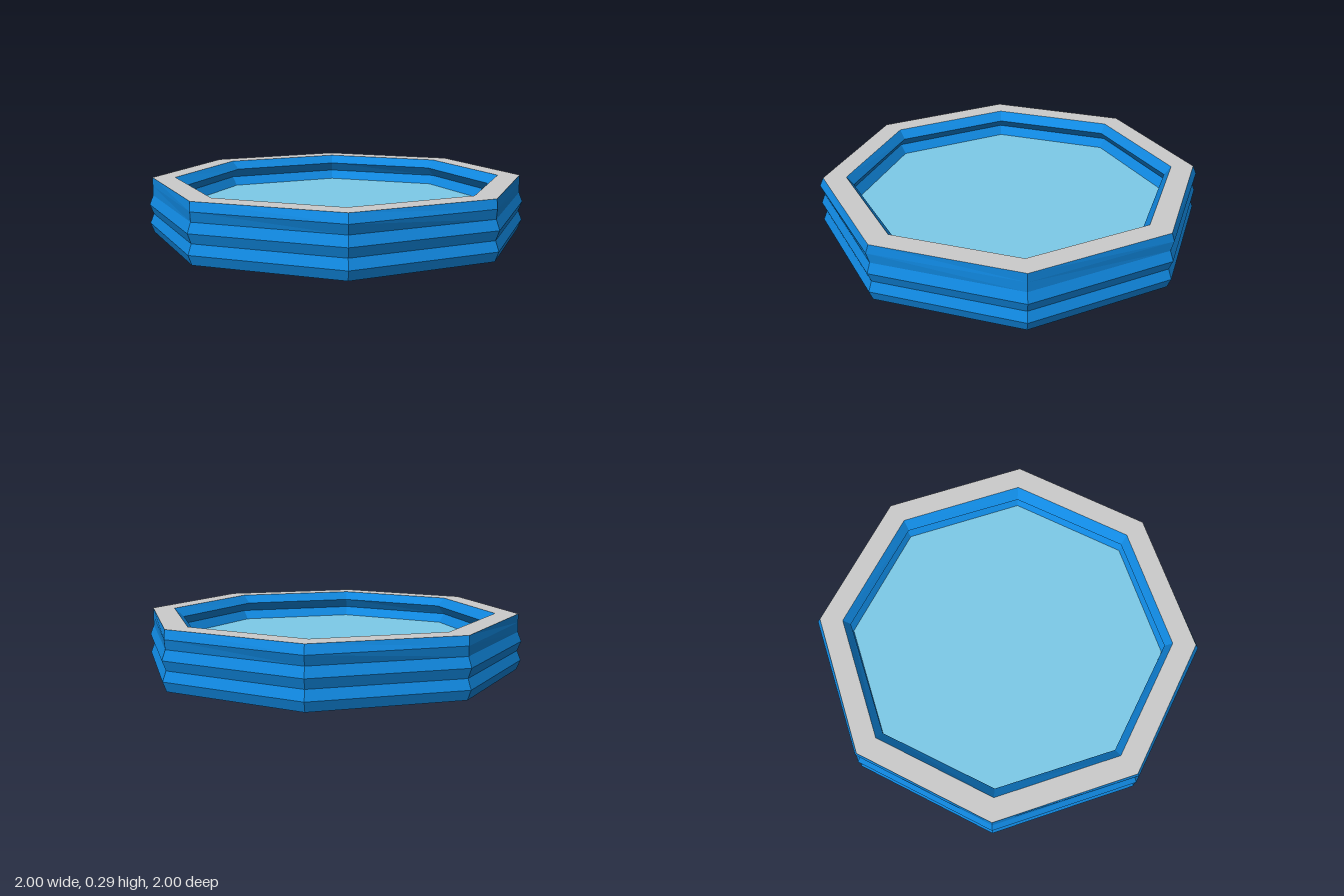
import * as THREE from 'three';

const SIDES = 8;
const TOP = 0.295;

// Eight-sided ring swept from [radius, height] pairs
function ring(name, profile, color) {
  const geometry = new THREE.LatheGeometry(profile.map(([r, y]) => new THREE.Vector2(r, y)), SIDES);
  // The top tube's middle ring is slightly narrower across x
  const p = geometry.attributes.position;
  for (let i = 0; i < p.count; i++) {
    if (Math.abs(p.getY(i) - 0.25) < 0.001) p.setX(i, p.getX(i) * 0.98);
  }
  const mesh = new THREE.Mesh(geometry, new THREE.MeshStandardMaterial({ color, flatShading: true }));
  mesh.name = name;
  return mesh;
}

export function createModel() {
  const pool = new THREE.Group();
  pool.name = 'paddlingPool';
  const blue = 0x1088e0;

  // Closed underside and three stacked, bulging tubes
  pool.add(ring('outerWall', [
    [0, 0], [0.98, 0], [1, 0.05], [0.98, 0.1], [1, 0.15], [0.98, 0.2], [1, 0.25], [0.98, TOP],
  ], blue));

  // Flat top of the upper tube
  pool.add(ring('rim', [[0.98, TOP], [0.86, TOP]], 0xcccccc));

  // Inner side of the tubes, down to the water
  pool.add(ring('innerWall', [[0.86, TOP], [0.825, 0.25], [0.86, 0.2], [0.825, 0.15]], blue));

  // Water surface
  pool.add(ring('water', [[0.83, 0.152], [0, 0.152]], 0x7ccbe9));

  return pool;
}
